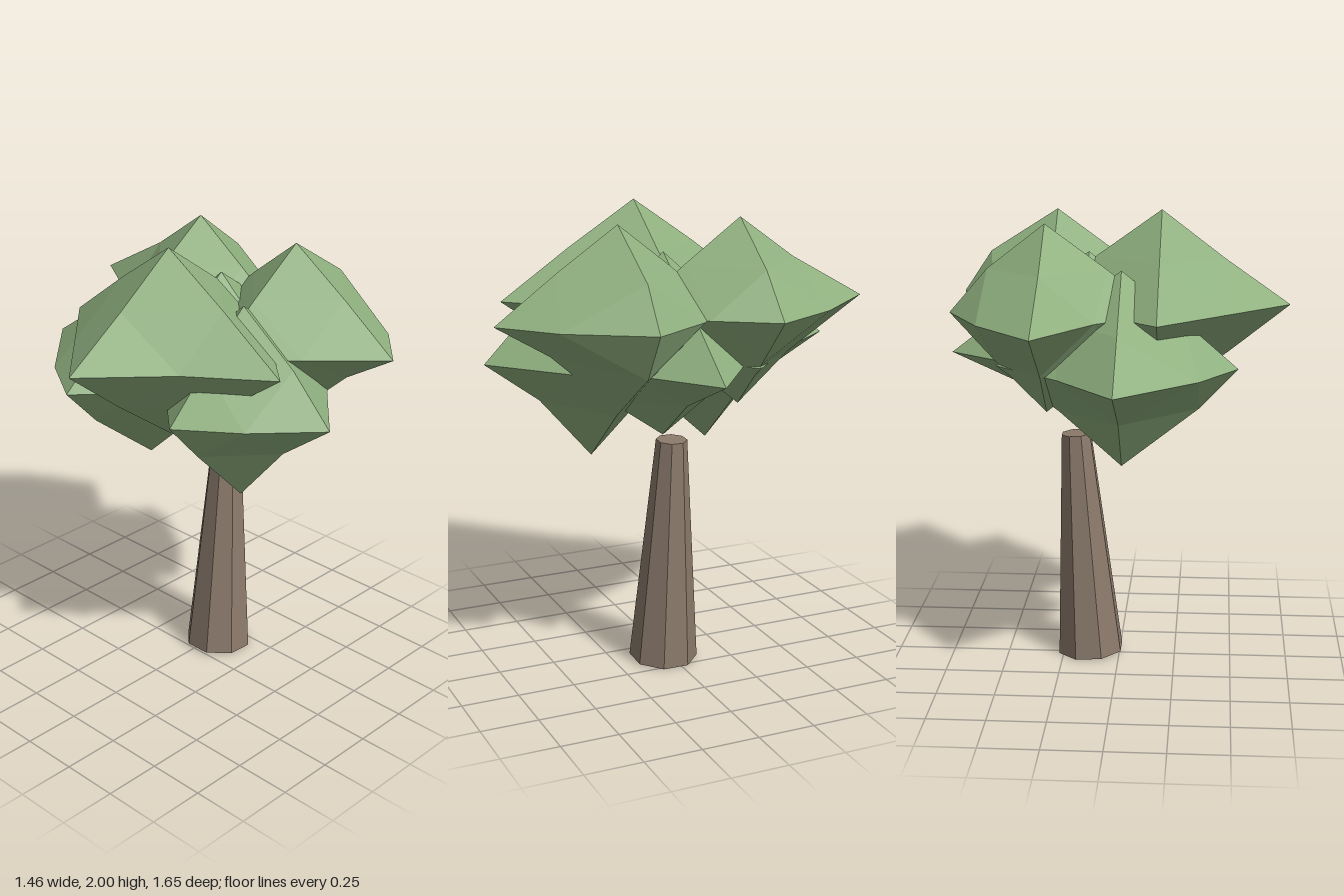
import * as THREE from 'three';

const leafMaterial = new THREE.MeshStandardMaterial({ color: 0x8fb07f, flatShading: true });
const barkMaterial = new THREE.MeshStandardMaterial({ color: 0x8b7a6b, flatShading: true });
const AXES = ['x', 'y', 'z'];

// Leaf clump: a once-subdivided octahedron whose six tips reach the given ends.
// bends: where an edge midpoint sits, as fractions of the two neighbouring reaches.
function leafClump(name, center, ends, bends = {}) {
  const geometry = new THREE.OctahedronGeometry(1, 1);
  const pos = geometry.attributes.position;
  const v = new THREE.Vector3();
  for (let i = 0; i < pos.count; i++) {
    v.fromBufferAttribute(pos, i);
    const used = AXES.filter((a) => Math.abs(v.getComponent(AXES.indexOf(a))) > 0.01);
    const key = used.map((a) => a + (v[a] > 0 ? '+' : '-')).join('');
    const fractions = used.length === 1 ? [1] : bends[key] || [0.52, 0.5];
    const p = center.slice();
    used.forEach((a, n) => {
      const k = AXES.indexOf(a);
      p[k] += (ends[k][v[a] > 0 ? 1 : 0] - center[k]) * fractions[n];
    });
    pos.setXYZ(i, ...p);
  }
  geometry.computeVertexNormals();
  const mesh = new THREE.Mesh(geometry, leafMaterial);
  mesh.name = name;
  return mesh;
}

export function createModel() {
  const tree = new THREE.Group();
  tree.name = 'tree';

  // Leaning, tapered eight-sided trunk
  const trunk = new THREE.Mesh(
    new THREE.CylinderGeometry(0.067, 0.15, 1.015, 8).rotateY(Math.PI / 8),
    barkMaterial
  );
  trunk.name = 'trunk';
  trunk.position.set(0.16, 0.516, 0.022);
  trunk.rotation.set(-0.012, 0, -0.058);
  tree.add(trunk);

  // Upper ring of clumps: ends are [x-, x+], [y-, y+], [z-, z+]
  tree.add(
    leafClump('upperRightClump', [-0.18, 1.6, 0.03],
      [[-0.73, 0.36], [1.18, 2.0], [-0.52, 0.64]],
      { 'x-y+': [0.49, 0.49], 'x-z+': [0.43, 0.48], 'x-z-': [0.5, 0.5] }),
    leafClump('upperFrontClump', [0.29, 1.6, 0.3],
      [[-0.2, 0.71], [1.2, 1.97], [-0.15, 0.825]],
      { 'x+y+': [0.71, 0.49], 'x+y-': [0.71, 0.5], 'x+z+': [0.52, 0.63],
        'x+z-': [0.6, 0.6], 'y-z+': [0.35, 0.56] }),
    leafClump('upperBackClump', [0.29, 1.6, -0.245],
      [[-0.2, 0.69], [1.18, 1.97], [-0.83, 0.25]],
      { 'x+z-': [0.62, 0.5], 'x-z-': [0.45, 0.4], 'x+z+': [0.6, 0.5],
        'x+y+': [0.6, 0.5], 'y+z-': [0.51, 0.43], 'y-z-': [0.52, 0.4] })
  );

  // Lower ring of clumps
  tree.add(
    leafClump('lowerFrontClump', [-0.025, 1.375, 0.3],
      [[-0.45, 0.55], [0.93, 1.78], [-0.15, 0.77]],
      { 'x-z+': [0.58, 0.51], 'x+z+': [0.5, 0.46], 'y-z+': [0.4, 0.49],
        'x-y-': [0.62, 0.4], 'x+y-': [0.5, 0.45], 'y+z+': [0.5, 0.58] }),
    leafClump('lowerBackClump', [-0.025, 1.375, -0.245],
      [[-0.51, 0.5], [0.95, 1.78], [-0.82, 0.2]],
      { 'x-z-': [0.67, 0.45], 'x+z-': [0.47, 0.45], 'y-z-': [0.46, 0.37],
        'x-y-': [0.67, 0.4], 'x+y-': [0.5, 0.45], 'y+z-': [0.46, 0.53] }),
    leafClump('lowerLeftClump', [0.13, 1.375, 0.03],
      [[-0.4, 0.73], [1.03, 1.82], [-0.45, 0.5]],
      { 'x+y-': [0.4, 0.47], 'x+z+': [0.48, 0.5], 'x+z-': [0.48, 0.5] })
  );
  return tree;
}
